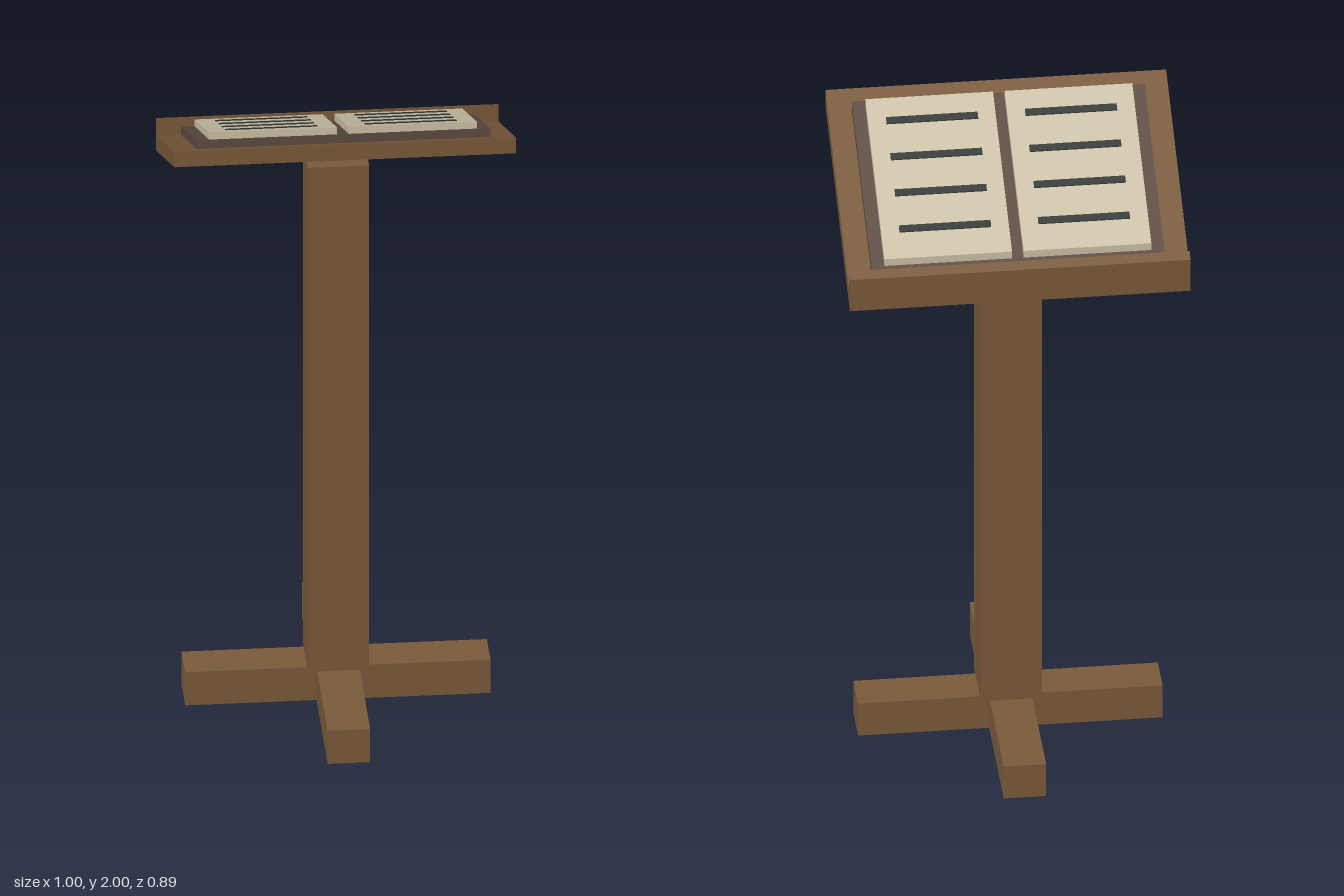
import * as THREE from 'three';

const SLOPE = 0.467; // rise of the desk per unit of z
const DESK_Y = 1.785; // underside of the desk at z = 0

const material = (name, color) => {
  const m = new THREE.MeshStandardMaterial({ color });
  m.name = name;
  return m;
};

function box(name, mat, [x0, x1], [y0, y1], [z0, z1]) {
  const g = new THREE.BoxGeometry(x1 - x0, y1 - y0, z1 - z0);
  g.translate((x0 + x1) / 2, (y0 + y1) / 2, (z0 + z1) / 2);
  const mesh = new THREE.Mesh(g, mat);
  mesh.name = name;
  return mesh;
}

// A box slanted with the desk: heights follow the slope, ends stay upright
function slantedBox(name, mat, x, y, z) {
  const mesh = box(name, mat, x, y, z);
  const p = mesh.geometry.attributes.position;
  for (let i = 0; i < p.count; i++) p.setY(i, p.getY(i) + DESK_Y + SLOPE * p.getZ(i));
  mesh.geometry.computeVertexNormals();
  return mesh;
}

export function createModel() {
  const wood = material('wood', 0x7a5a3a);
  const leather = material('cover leather', 0x5d4b41);
  const paper = material('paper', 0xcdc3a8);
  const ink = material('ink', 0x333836);

  const model = new THREE.Group();
  model.name = 'lectern';

  // Crossed feet and post
  model.add(
    box('footAcross', wood, [-0.445, 0.445], [0, 0.11], [-0.062, 0.062]),
    box('footFront', wood, [-0.062, 0.062], [0, 0.11], [0.062, 0.445]),
    box('footBack', wood, [-0.062, 0.062], [0, 0.11], [-0.445, -0.062]),
    box('post', wood, [-0.089, 0.089], [0.11, 1.785], [-0.089, 0.089]),
  );

  // Slanted desk with a ledge along its low edge
  const desk = new THREE.Group();
  desk.name = 'desk';
  desk.add(
    slantedBox('deskBoard', wood, [-0.498, 0.498], [0, 0.052], [-0.322, 0.322]),
    slantedBox('deskLedge', wood, [-0.498, 0.498], [0.052, 0.107], [-0.322, -0.294]),
  );
  model.add(desk);

  // Open book: cover, two page blocks and lines of writing
  const book = new THREE.Group();
  book.name = 'book';
  book.add(slantedBox('bookCover', leather, [-0.428, 0.428], [0.052, 0.08], [-0.275, 0.256]));
  for (const side of [-1, 1]) {
    const span = (a, b) => (side > 0 ? [a, b] : [-b, -a]);
    const label = side > 0 ? 'left' : 'right';
    book.add(slantedBox(label + 'Pages', paper, span(0.017, 0.39), [0.08, 0.103], [-0.26, 0.24]));
    for (let i = 0; i < 4; i++) {
      const z = -0.17 + i * 0.1127;
      book.add(slantedBox(label + 'Line' + (i + 1), ink, span(0.069, 0.337), [0.103, 0.106], [z - 0.01, z + 0.01]));
    }
  }
  model.add(book);

  return model;
}
